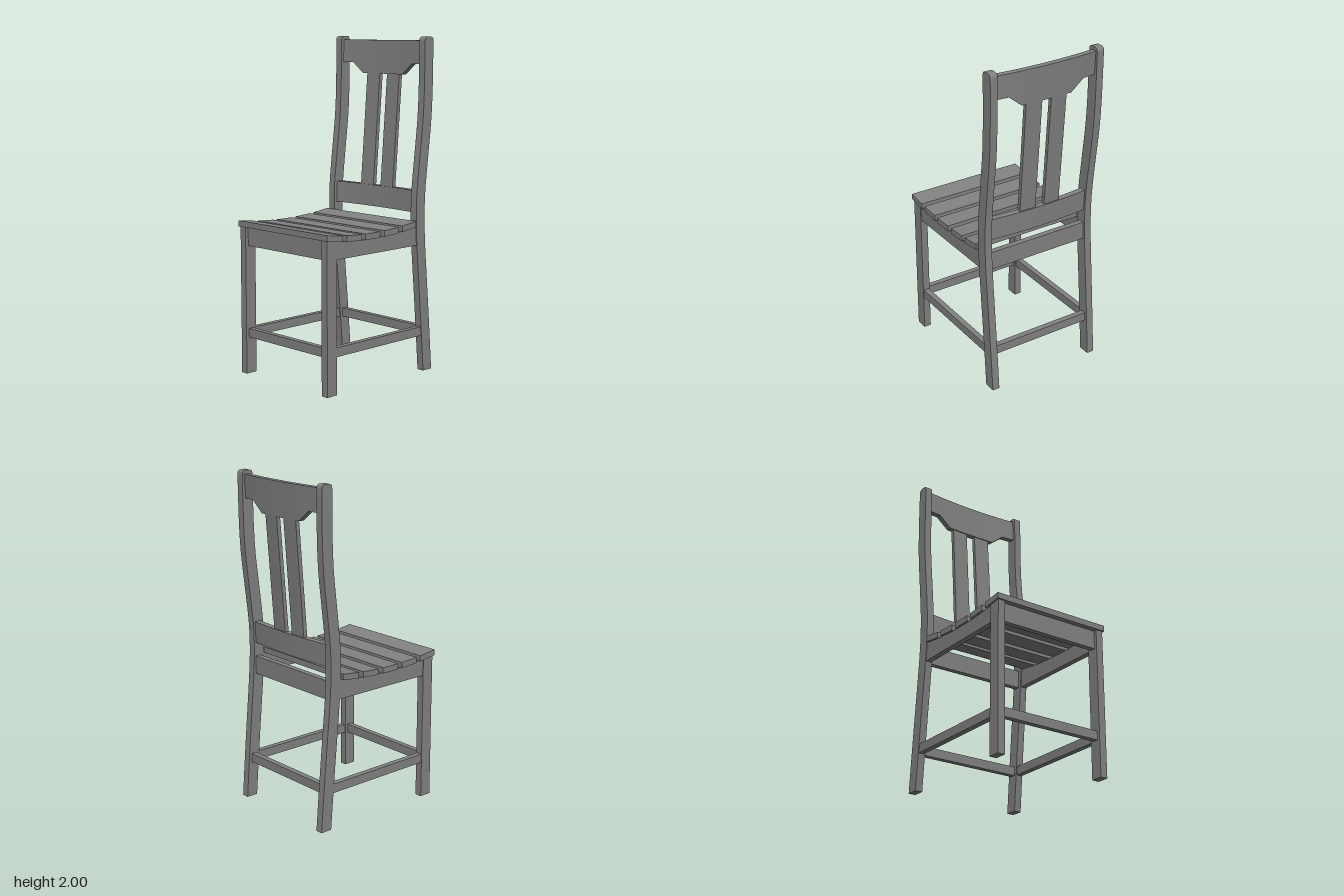
import * as THREE from 'three';
import { toCreasedNormals } from 'three/addons/utils/BufferGeometryUtils.js';

const material = new THREE.MeshStandardMaterial({ color: 0x828282 });

// Centre line of the bent back posts: z as a function of height
const postLine = new THREE.SplineCurve([
  [0, -0.405], [0.2, -0.389], [0.4, -0.372], [0.6, -0.354], [0.8, -0.337], [0.95, -0.331], [1.1, -0.336],
  [1.3, -0.358], [1.5, -0.381], [1.65, -0.39], [1.8, -0.393], [2, -0.394],
].map(([y, z]) => new THREE.Vector2(y, z))).getPoints(110);

function postZ(y) {
  let i = 0;
  while (i < postLine.length - 2 && postLine[i + 1].x < y) i++;
  const a = postLine[i], b = postLine[i + 1];
  return THREE.MathUtils.mapLinear(y, a.x, b.x, a.y, b.y);
}

// Dished seat: heights of the upper and lower side of the slats
const seatTop = (z) => 0.897 + 0.027 * ((z - 0.08) / 0.365) ** 2;
const seatUnder = (z) => seatTop(z) - 0.035;

export function createModel() {
  const chair = new THREE.Group();

  function add(name, geometry) {
    const mesh = new THREE.Mesh(toCreasedNormals(geometry, 0.4), material);
    mesh.name = name;
    chair.add(mesh);
  }

  // Straight board given by its limits
  function board(name, x0, x1, y0, y1, z0, z1) {
    const g = new THREE.BoxGeometry(x1 - x0, y1 - y0, z1 - z0);
    g.translate((x0 + x1) / 2, (y0 + y1) / 2, (z0 + z1) / 2);
    add(name, g);
  }

  // Side profile (z, y) extruded across x
  function profile(name, shape, x0, x1) {
    const g = new THREE.ExtrudeGeometry(shape, { depth: x1 - x0, bevelEnabled: false, curveSegments: 6 });
    g.rotateY(-Math.PI / 2).translate(x1, 0, 0);
    add(name, g);
  }

  // Profile between a bottom and a top curve
  function between(z0, z1, bottom, top, steps) {
    const low = [], high = [];
    for (let i = 0; i <= steps; i++) {
      const z = z0 + (z1 - z0) * i / steps;
      low.push(new THREE.Vector2(z, bottom(z)));
      high.unshift(new THREE.Vector2(z, top(z)));
    }
    return new THREE.Shape([...low, ...high]);
  }

  // Backrest board that leans straight from zLow (at bottom(0)) to zTop and bows backwards in the middle
  function backBoard(name, x0, x1, bottom, top, zLow, zTop, thickness) {
    const g = new THREE.BoxGeometry(x1 - x0, 1, thickness, 32, 1, 1);
    const p = g.attributes.position;
    for (let i = 0; i < p.count; i++) {
      const x = p.getX(i) + (x0 + x1) / 2;
      const y = THREE.MathUtils.lerp(bottom(x), top, p.getY(i) + 0.5);
      const lean = THREE.MathUtils.mapLinear(y, bottom(0), top, zLow, zTop);
      const bow = -0.018 * (1 - (x / 0.325) ** 2);
      p.setXYZ(i, x, y, p.getZ(i) + lean + bow);
    }
    add(name, g);
  }

  // Back post profile with rounded top
  const post = new THREE.Shape();
  const half = 0.0365, rows = 40, shoulder = 1.975;
  post.moveTo(postZ(0) - half, 0);
  post.lineTo(postZ(0) + half, 0);
  for (let i = 1; i <= rows; i++) {
    const y = shoulder * i / rows;
    post.lineTo(postZ(y) + half, y);
  }
  const topZ = postZ(2);
  post.quadraticCurveTo(topZ + half, 2, topZ + half - 0.025, 2);
  post.lineTo(topZ - half + 0.025, 2);
  post.quadraticCurveTo(topZ - half, 2, postZ(shoulder) - half, shoulder);
  for (let i = rows - 1; i > 0; i--) {
    const y = shoulder * i / rows;
    post.lineTo(postZ(y) - half, y);
  }

  // Legs, side aprons, side stretchers and splats, mirrored
  for (const side of [-1, 1]) {
    const label = side > 0 ? 'left' : 'right';
    const span = (a, b) => (side > 0 ? [a, b] : [-b, -a]);
    profile(label + 'BackPost', post, ...span(0.324, 0.369));
    profile(label + 'FrontLeg', between(0.36, 0.435, () => 0, seatUnder, 4), ...span(0.324, 0.369));
    profile(label + 'SideApron', between(-0.305, 0.362, () => 0.775, seatUnder, 24), ...span(0.33, 0.365));
    board(label + 'SideStretcher', ...span(0.33, 0.365), 0.22, 0.274, -0.36, 0.362);
    backBoard(label + 'BackSplat', ...span(0.03, 0.133), () => 1.09, 1.785, -0.337, -0.391, 0.025);
  }

  // Cross rails
  profile('frontApron', between(0.38, 0.415, () => 0.775, seatUnder, 2), -0.326, 0.326);
  board('backApron', -0.326, 0.326, 0.775, 0.885, -0.357, -0.322);
  board('frontStretcher', -0.326, 0.326, 0.22, 0.274, 0.38, 0.415);
  board('backStretcher', -0.326, 0.326, 0.22, 0.274, -0.402, -0.367);

  // Seat slats
  for (const z of [-0.224, -0.073, 0.082, 0.232, 0.383]) {
    profile('seatSlat', between(z - 0.06, z + 0.06, seatUnder, seatTop, 6), -0.378, 0.378);
  }

  // Backrest rails; the crest drops lower in the middle
  const crestBottom = (x) => 1.84 - 0.065 * THREE.MathUtils.clamp((0.2438 - Math.abs(x)) / 0.0813, 0, 1);
  backBoard('lowerBackRail', -0.325, 0.325, () => 0.968, 1.098, -0.335, -0.34, 0.038);
  backBoard('crestRail', -0.325, 0.325, crestBottom, 1.978, -0.389, -0.399, 0.036);

  return chair;
}
